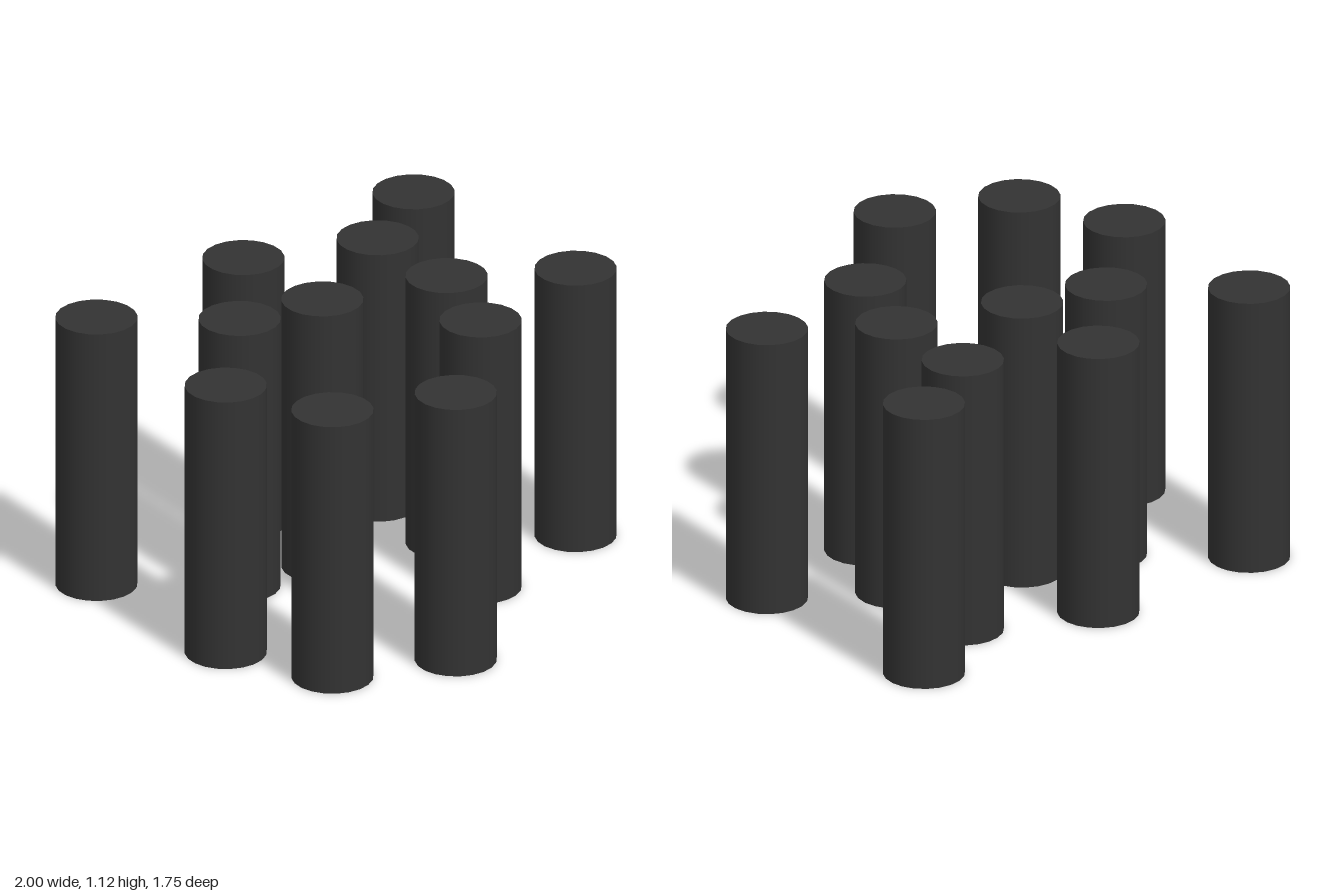
import * as THREE from 'three';

const RADIUS = 0.157;
const HEIGHT = 1.12;

// Scattered pillar positions on the ground: [x, z]
const SPOTS = [
  [-0.8, -0.7], [-0.03, -0.718], [0.843, -0.718], [0.467, -0.506],
  [-0.405, -0.325], [-0.055, -0.243], [0.435, -0.08], [-0.843, 0.08],
  [0.843, 0.2], [0.265, 0.3], [-0.69, 0.515], [-0.239, 0.716],
];

export function createModel() {
  const group = new THREE.Group();
  group.name = 'pillars';

  // One closed, smooth-sided cylinder shared by every pillar
  const geometry = new THREE.CylinderGeometry(RADIUS, RADIUS, HEIGHT, 20);
  const material = new THREE.MeshStandardMaterial({ color: 0x333333 });

  SPOTS.forEach(([x, z], i) => {
    const pillar = new THREE.Mesh(geometry, material);
    pillar.name = `pillar${i + 1}`;
    pillar.position.set(x, HEIGHT / 2, z);
    group.add(pillar);
  });
  return group;
}
